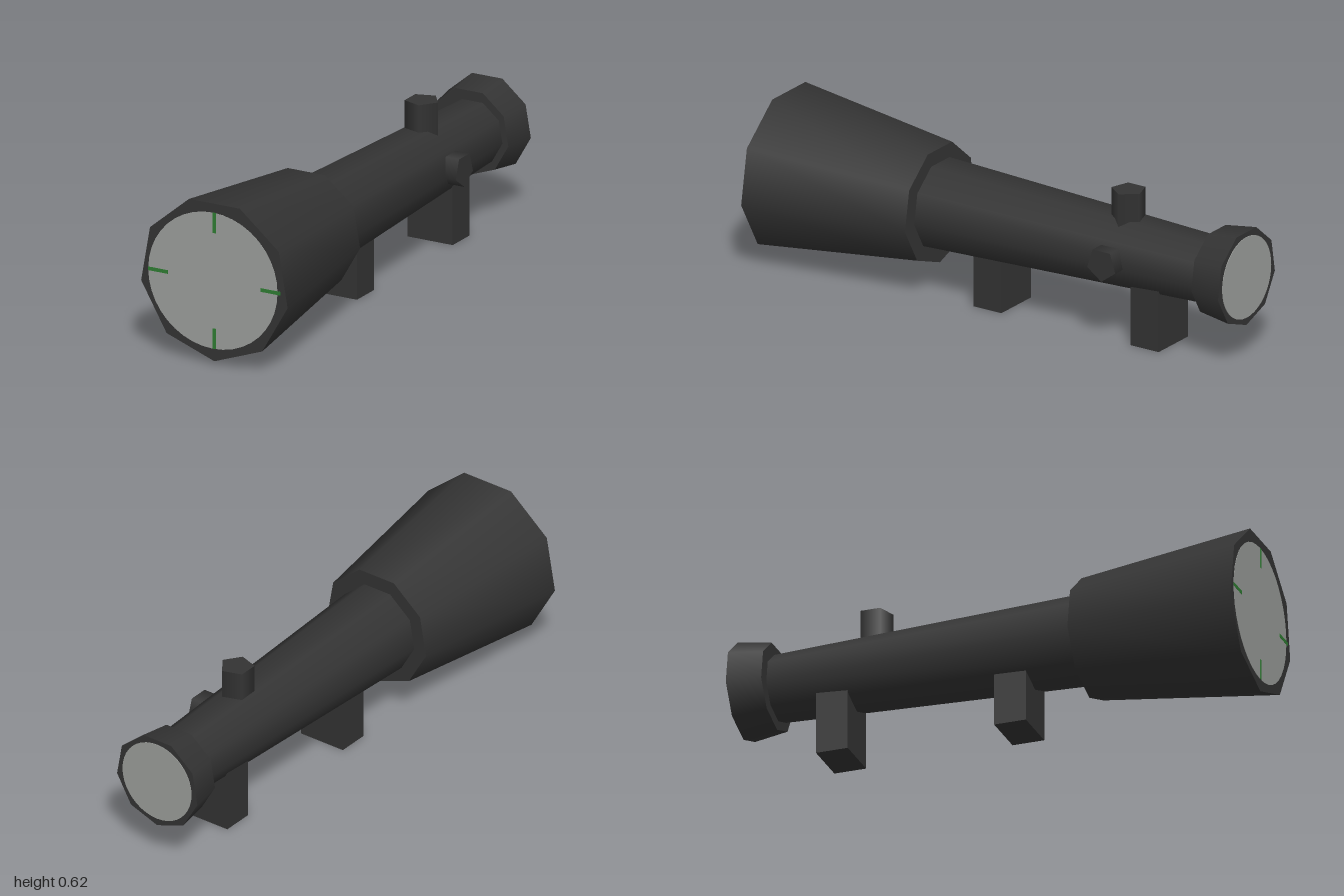
import * as THREE from 'three';

const body = new THREE.MeshStandardMaterial({ color: 0x333333 });
body.name = 'matte black';
const glass = new THREE.MeshStandardMaterial({ color: 0x9c9e9b });
glass.name = 'lens grey';
const green = new THREE.MeshStandardMaterial({ color: 0x2e7d32 });
green.name = 'reticle green';

const AXIS_Y = 0.325;

export function createModel() {
  const group = new THREE.Group();
  const add = (name, geometry, material, x, y, z) => {
    const mesh = new THREE.Mesh(geometry, material);
    mesh.name = name;
    mesh.position.set(x, y, z);
    group.add(mesh);
    return mesh;
  };

  // Nine-sided tapered tube lying along z, one corner pointing down
  const taper = (name, rFront, rBack, zFront, zBack, x = 0) => {
    const g = new THREE.CylinderGeometry(rFront, rBack, zFront - zBack, 9).rotateX(Math.PI / 2);
    add(name, g, body, x, AXIS_Y, (zFront + zBack) / 2);
  };
  taper('objectiveBell', 0.312, 0.229, 0.998, 0.335);
  taper('mainTube', 0.172, 0.127, 0.35, -0.88, -0.003);
  taper('eyepiece', 0.167, 0.186, -0.868, -0.998, -0.017);

  // Lenses, thin discs on the end faces
  const disc = (r) => new THREE.CylinderGeometry(r, r, 0.004, 40).rotateX(Math.PI / 2);
  add('frontLens', disc(0.267).scale(1.015, 0.98, 1), glass, -0.006, 0.322, 0.997);
  add('rearLens', disc(0.157), glass, -0.017, AXIS_Y, -0.998);

  // Reticle: four posts around the lens edge
  const post = (name, w, h, x, y) =>
    add(name, new THREE.BoxGeometry(w, h, 0.002), green, x, y, 0.999);
  post('reticleTop', 0.014, 0.078, 0.001, 0.545);
  post('reticleBottom', 0.014, 0.078, 0.001, 0.1);
  post('reticleRight', 0.082, 0.014, -0.236, 0.322);
  post('reticleLeft', 0.082, 0.014, 0.236, 0.322);

  // Five-sided adjustment knobs
  const knob = (h) => new THREE.CylinderGeometry(0.065, 0.065, h, 5, 1, false, Math.PI / 2);
  add('elevationKnob', knob(0.18), body, 0.004, 0.475, -0.495);
  add('windageKnob', knob(0.12).rotateZ(-Math.PI / 2), body, 0.12, AXIS_Y, -0.495);

  // Mounting feet, sunk into the tube
  for (const [name, z] of [['frontMount', 0.065], ['rearMount', -0.625]])
    add(name, new THREE.BoxGeometry(0.19, 0.25, 0.123), body, -0.004, 0.125, z);

  return group;
}
